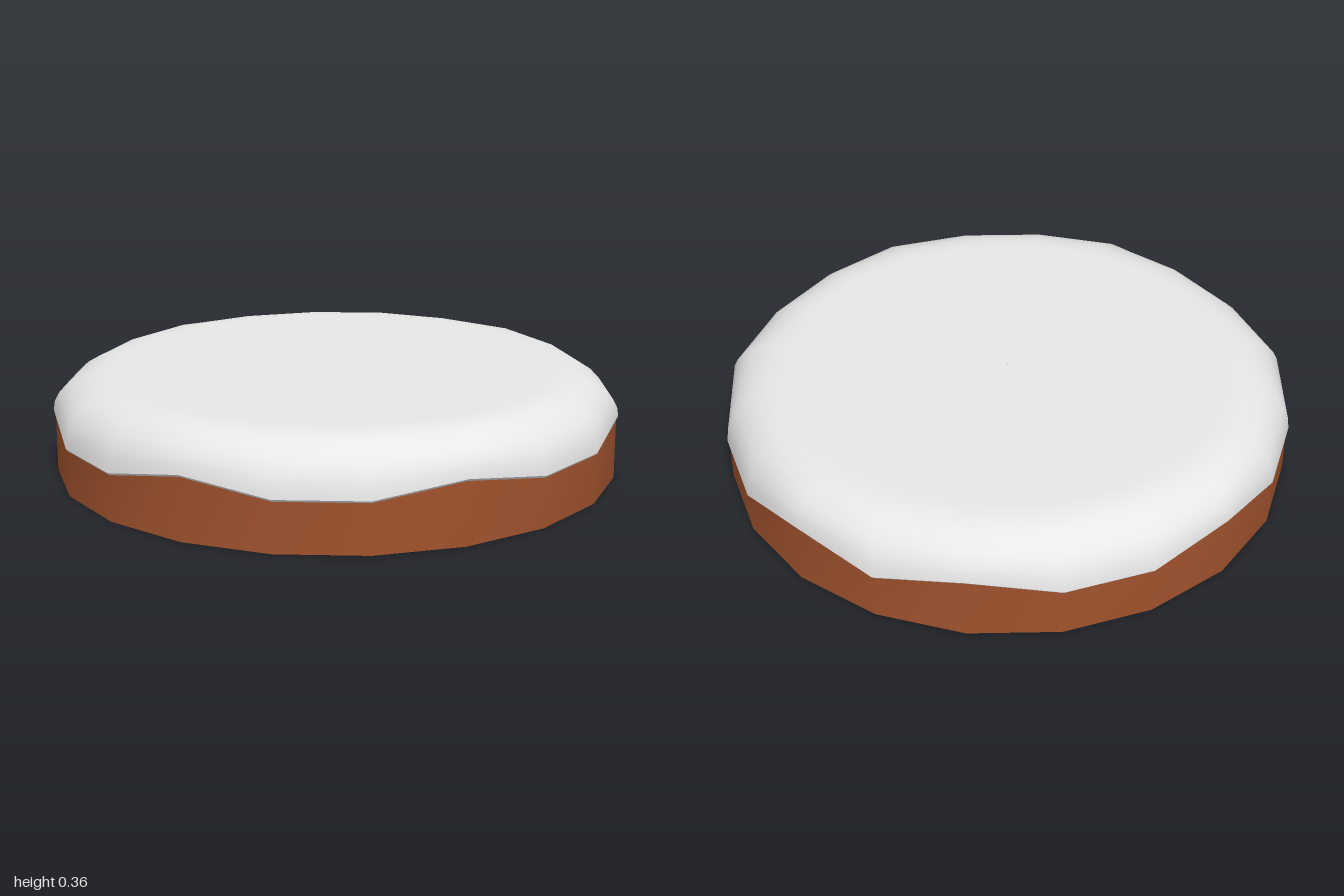
import * as THREE from 'three';

const SIDES = 20;
const TOP = 0.36;

// Height of the wavy cream edge at each of the 20 corners, from the front (+z) round through +x
const EDGE = [0.225, 0.18, 0.18, 0.225, 0.152, 0.152, 0.225, 0.167, 0.225, 0.178,
  0.178, 0.225, 0.175, 0.175, 0.222, 0.168, 0.168, 0.225, 0.18, 0.18];

// Joins rings into a smooth surface; each ring maps an edge height to [radius, y]
function ringSurface(rings) {
  const positions = [];
  const index = [];
  rings.forEach((ring, j) => {
    for (let k = 0; k < SIDES; k++) {
      const a = (k / SIDES) * Math.PI * 2;
      const [r, y] = ring(EDGE[k]);
      positions.push(Math.sin(a) * r, y, Math.cos(a) * r);
      if (j + 1 < rings.length) {
        const next = (k + 1) % SIDES;
        const p = j * SIDES + k;
        const q = j * SIDES + next;
        index.push(p, q, q + SIDES, p, q + SIDES, p + SIDES);
      }
    }
  });
  const geometry = new THREE.BufferGeometry();
  geometry.setAttribute('position', new THREE.Float32BufferAttribute(positions, 3));
  geometry.setIndex(index);
  geometry.computeVertexNormals();
  return geometry;
}

export function createModel() {
  const group = new THREE.Group();
  group.name = 'frostedDisc';

  const brown = new THREE.MeshStandardMaterial({ color: 0xa0522d, side: THREE.DoubleSide });
  brown.name = 'brown';
  const white = new THREE.MeshStandardMaterial({ color: 0xeeeeee, side: THREE.DoubleSide });
  white.name = 'white';

  const add = (name, geometry, material) => {
    const mesh = new THREE.Mesh(geometry, material);
    mesh.name = name;
    group.add(mesh);
  };

  // Open brown wall, its upper edge following the wave
  add('sideWall', ringSurface([() => [0.993, 0], (e) => [0.993, e - 0.004]]), brown);

  // Rounded shoulder rising from the wave to the flat top
  const rings = [];
  const steps = 7;
  for (let i = 0; i <= steps; i++) {
    const t = (i / steps) * Math.PI / 2;
    rings.push((e) => [0.8 + 0.2 * Math.cos(t), e + (TOP - e) * Math.sin(t)]);
  }
  rings.push(() => [0.77, TOP], () => [0.001, TOP]);
  add('topping', ringSurface(rings), white);

  // Thin lip tucked under the wavy edge
  add('toppingLip', ringSurface([(e) => [0.993, e - 0.008], (e) => [1, e]]), white);

  return group;
}
